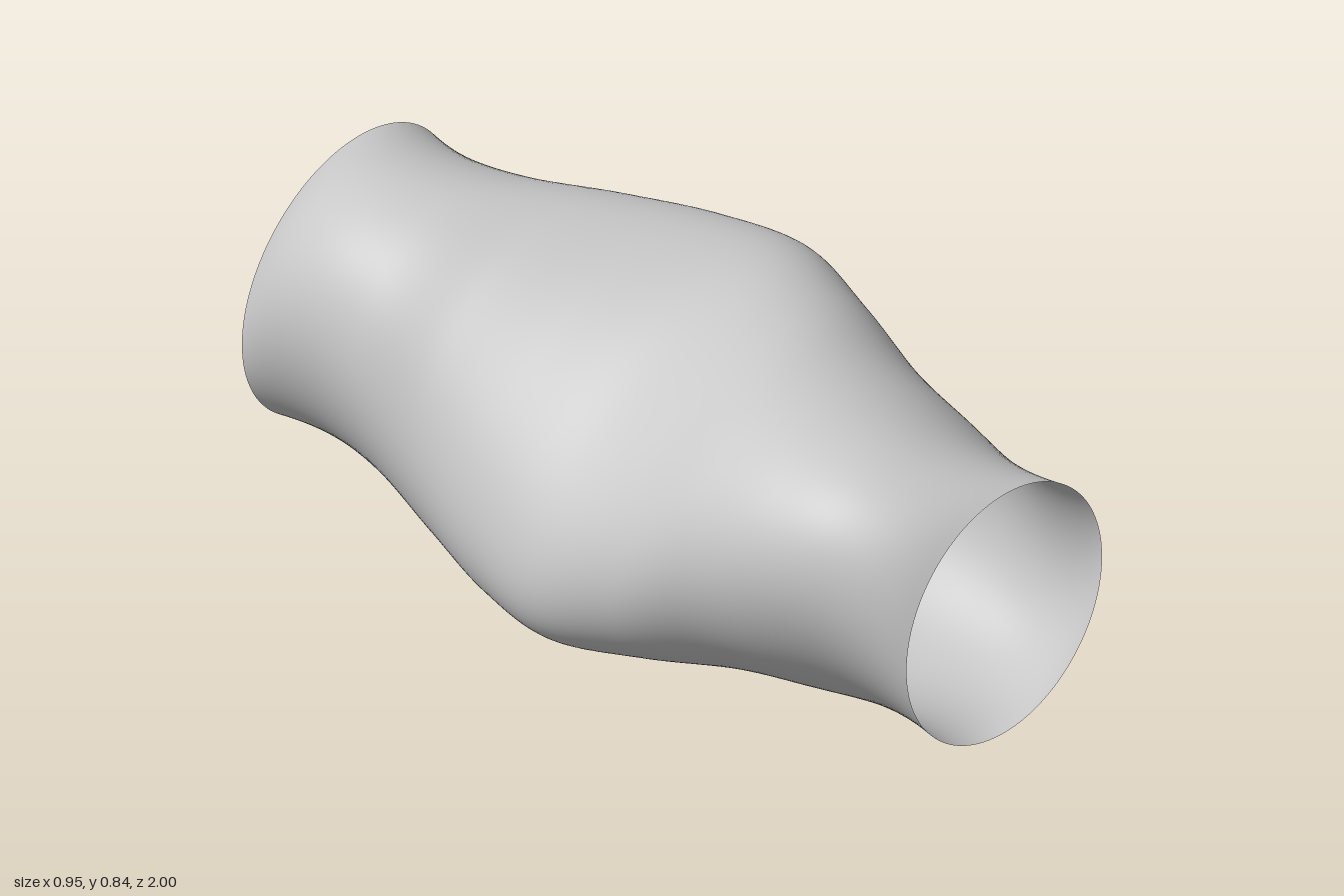
import * as THREE from 'three';

// Elliptical stations from front to back: z, half width, half height, skew
const stations = [
  [1, 0.315, 0.317, 0], [0.8, 0.376, 0.366, -0.043], [0.6, 0.41, 0.379, -0.035],
  [0.4, 0.42, 0.377, -0.004], [0.2, 0.442, 0.377, 0.05], [0, 0.474, 0.384, 0.086],
  [-0.2, 0.456, 0.395, 0.065], [-0.4, 0.424, 0.41, 0.02], [-0.6, 0.413, 0.42, -0.032],
  [-0.8, 0.391, 0.403, -0.04], [-1, 0.341, 0.338, 0.012],
];
const CENTRE_Y = 0.42;
const RINGS = 120;
const SIDES = 120;

// Smooth interpolation of one station column, with curved extrapolation at the ends
function sample(column, t) {
  const last = stations.length - 1;
  const f = t * last;
  const i = Math.min(Math.floor(f), last - 1);
  const u = f - i;
  const at = (k) => {
    if (k < 0) return 3 * at(0) - 3 * at(1) + at(2);
    if (k > last) return 3 * at(last) - 3 * at(last - 1) + at(last - 2);
    return stations[k][column];
  };
  const [a, b, c, d] = [at(i - 1), at(i), at(i + 1), at(i + 2)];
  return b + 0.5 * u * (c - a + u * (2 * a - 5 * b + 4 * c - d + u * (3 * (b - c) + d - a)));
}

// Open tube whose elliptical section turns and swells along z
function twistedTube() {
  const positions = [], index = [];
  for (let r = 0; r <= RINGS; r++) {
    const [z, w, h, s] = [0, 1, 2, 3].map((column) => sample(column, r / RINGS));
    const shear = s / w;
    const rise = Math.sqrt(h * h - shear * shear);
    for (let k = 0; k < SIDES; k++) {
      const a = (k / SIDES) * Math.PI * 2;
      positions.push(w * Math.cos(a), CENTRE_Y + shear * Math.cos(a) + rise * Math.sin(a), z);
      if (r === RINGS) continue;
      const n = (k + 1) % SIDES;
      const p = r * SIDES + k, q = r * SIDES + n;
      index.push(p, p + SIDES, q, q, p + SIDES, q + SIDES);
    }
  }
  const geometry = new THREE.BufferGeometry();
  geometry.setAttribute('position', new THREE.Float32BufferAttribute(positions, 3));
  geometry.setIndex(index);
  geometry.computeVertexNormals();
  return geometry;
}

export function createModel() {
  const grey = new THREE.MeshStandardMaterial({ color: 0xc8c8c8, side: THREE.DoubleSide });
  grey.name = 'grey';
  const tube = new THREE.Mesh(twistedTube(), grey);
  tube.name = 'twistedTube';
  const model = new THREE.Group();
  model.name = 'openTwistedTube';
  model.add(tube);
  return model;
}
